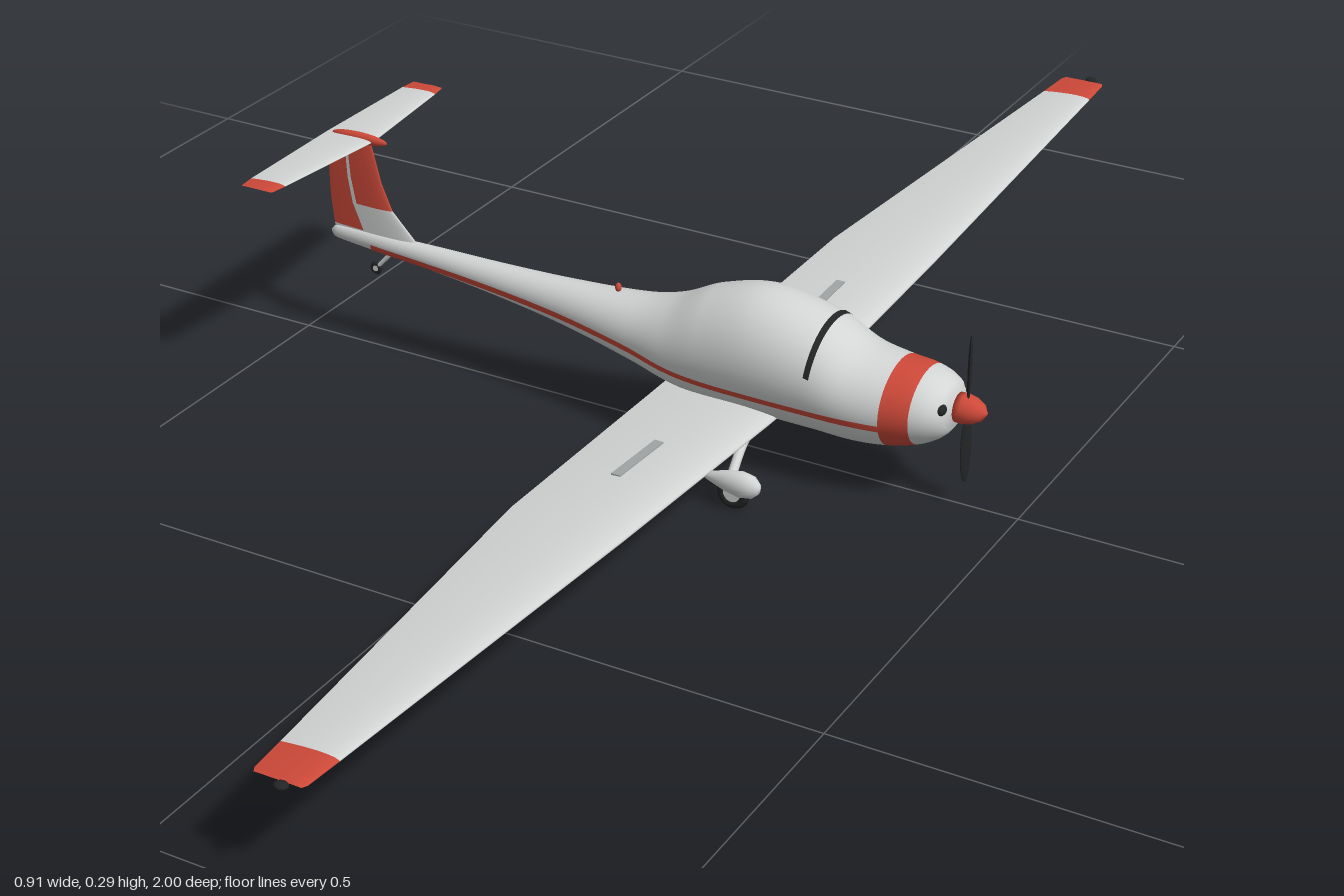
import * as THREE from 'three';

const mat = (name, color) => Object.assign(new THREE.MeshStandardMaterial({ color }), { name });

// Surface from rows and columns; paint(point, row, column) picks a material index per cell
function surface(nu, nv, fn, closed, paint = () => 0) {
  const pos = [], cells = [];
  const cols = closed ? nv : nv + 1;
  const pts = [];
  for (let i = 0; i <= nu; i++) for (let j = 0; j < cols; j++) {
    const p = fn(i, j);
    pts.push(p);
    pos.push(p.x, p.y, p.z);
  }
  for (let i = 0; i < nu; i++) for (let j = 0; j < nv; j++) {
    const j2 = (j + 1) % cols;
    const a = i * cols + j, b = a + cols, c = i * cols + j2, d = c + cols;
    const mid = pts[a].clone().add(pts[d]).multiplyScalar(0.5);
    const m = paint(mid, i, j);
    (cells[m] ||= []).push(a, b, c, b, d, c);
  }
  const g = new THREE.BufferGeometry();
  g.setAttribute('position', new THREE.Float32BufferAttribute(pos, 3));
  let start = 0;
  cells.forEach((c, m) => { g.addGroup(start, c.length, m); start += c.length; });
  g.setIndex(cells.filter(Boolean).flat());
  g.computeVertexNormals();
  return g;
}

// Smooth interpolation through rows [x, a, b, ...]
function interp(rows, x, k) {
  let i = 0;
  while (i < rows.length - 2 && x > rows[i + 1][0]) i++;
  const slope = n => {
    const p = rows[Math.max(n - 1, 0)], q = rows[Math.min(n + 1, rows.length - 1)];
    return (q[k] - p[k]) / (q[0] - p[0]);
  };
  const h = rows[i + 1][0] - rows[i][0], t = THREE.MathUtils.clamp((x - rows[i][0]) / h, 0, 1);
  const t2 = t * t, t3 = t2 * t;
  return (2 * t3 - 3 * t2 + 1) * rows[i][k] + (t3 - 2 * t2 + t) * h * slope(i)
    + (3 * t2 - 2 * t3) * rows[i + 1][k] + (t3 - t2) * h * slope(i + 1);
}

// Fuselage stations: x, top, bottom, half width
const BODY = [
  [-0.455, 0.150, 0.146, 0.001], [-0.448, 0.157, 0.140, 0.005], [-0.32, 0.160, 0.130, 0.013],
  [-0.2, 0.160, 0.117, 0.020], [-0.1, 0.162, 0.102, 0.029], [0, 0.168, 0.081, 0.045],
  [0.05, 0.180, 0.068, 0.056], [0.1, 0.204, 0.060, 0.064], [0.17, 0.220, 0.058, 0.070],
  [0.25, 0.204, 0.058, 0.070], [0.3, 0.179, 0.058, 0.067], [0.34, 0.171, 0.062, 0.063],
  [0.38, 0.167, 0.073, 0.056], [0.405, 0.157, 0.087, 0.045], [0.417, 0.144, 0.103, 0.028], [0.42, 0.130, 0.122, 0.005],
];
const STRIPE = [[-0.39, 0.142], [-0.25, 0.136], [-0.12, 0.127], [0, 0.115], [0.08, 0.104], [0.2, 0.104], [0.346, 0.106]];

function bodyPoint(x, a, grow = 0) {
  const top = interp(BODY, x, 1), bottom = interp(BODY, x, 2), w = interp(BODY, x, 3);
  return new THREE.Vector3(x, (top + bottom) / 2 + ((top - bottom) / 2 + grow) * Math.sin(a), (w + grow) * Math.cos(a));
}

// Airfoil loft; stations: span, trailing x, leading x, y, relative thickness
const SEG = 48;
function airfoil(stations, paint) {
  return surface(stations.length - 1, SEG, (i, j) => {
    const [z, te, le, y, t] = stations[i];
    const c = (1 + Math.cos(2 * Math.PI * j / SEG)) / 2;
    const half = 5 * t * (0.2969 * Math.sqrt(c) - 0.126 * c - 0.3516 * c ** 2 + 0.2843 * c ** 3 - 0.1036 * c ** 4);
    return new THREE.Vector3(le - c * (le - te), y + (le - te) * half * (j <= SEG / 2 ? 1 : -0.8), z);
  }, false, paint);
}
const mirrorSpan = s => [...s.map(r => [-r[0], ...r.slice(1)]).reverse(), ...s];

export function createModel() {
  const white = mat('pale grey paint', 0xd2d5d4), red = mat('red paint', 0xcd4939);
  const dark = mat('black', 0x232425), grey = mat('mid grey', 0xa0a4a4);
  const paints = [white, red];
  const model = new THREE.Group();
  const add = (name, geo, m, x = 0, y = 0, z = 0) => {
    const mesh = new THREE.Mesh(geo, m);
    mesh.name = name;
    mesh.position.set(x, y, z);
    model.add(mesh);
    return mesh;
  };
  const ball = (name, m, x, y, z, rx, ry, rz) => {
    const b = add(name, new THREE.SphereGeometry(1, 24, 16), m, x, y, z);
    b.scale.set(rx, ry, rz);
    return b;
  };
  const rod = (name, m, pts, r) => add(name, new THREE.TubeGeometry(
    new THREE.CatmullRomCurve3(pts.map(p => new THREE.Vector3(...p))), 10, r, 10), m);

  // Fuselage with red cowl band
  add('fuselage', surface(175, 40, (i, j) => bodyPoint(-0.455 + i * 0.005, j / 40 * 2 * Math.PI), true,
    p => (p.x > 0.345 && p.x < 0.38 ? 1 : 0)), paints);

  // Side stripes
  for (const s of [1, -1]) {
    add('sideStripe', surface(80, 2, (i, j) => {
      const x = -0.39 + 0.736 * i / 80, y = interp(STRIPE, x, 1) + s * (j - 1) * 0.004;
      const top = interp(BODY, x, 1), bottom = interp(BODY, x, 2);
      const a = Math.asin(THREE.MathUtils.clamp((2 * y - top - bottom) / (top - bottom), -1, 1));
      const p = bodyPoint(x, a, 0.0012);
      p.z *= s;
      return p;
    }, false), red);
  }

  // Canopy frame arch
  add('canopyArch', surface(2, 40, (i, j) => {
    const a = 0.28 + (Math.PI - 0.56) * j / 40;
    return bodyPoint(0.25 + i * 0.0035 + 0.004 * Math.sin(a), a, 0.0012);
  }, false), dark);

  // Main wing with dihedral and red tips
  const wingY = z => 0.07 + 0.056 * z;
  add('wing', airfoil(mirrorSpan([
    [0, 0.043, 0.205, 0.071, 0.125], [0.06, 0.045, 0.205, wingY(0.06), 0.125], [0.4, 0.06, 0.205, wingY(0.4), 0.12],
    [0.93, 0.129, 0.198, wingY(0.93), 0.11], [0.98, 0.135, 0.197, wingY(0.98), 0.1], [0.987, 0.139, 0.194, wingY(0.987), 0.01],
  ]).filter((r, i, all) => !i || r[0] !== all[i - 1][0]), p => (Math.abs(p.z) > 0.93 ? 1 : 0)), paints);

  for (const s of [1, -1]) {
    // Airbrake slots and tip lights
    const brake = add('airbrake', new THREE.BoxGeometry(0.012, 0.003, 0.1), grey, 0.127, 0.0915, s * 0.235);
    brake.rotation.x = -s * 0.05;
    ball('tipLight', dark, 0.175, wingY(0.99), s * 0.993, 0.008, 0.004, 0.007);

    // Main landing gear
    rod('gearLeg', white, [[0.185, 0.07, s * 0.045], [0.188, 0.062, s * 0.09], [0.195, 0.036, s * 0.136]], 0.006);
    const fairing = add('wheelFairing', new THREE.LatheGeometry([
      [0.0005, -0.044], [0.006, -0.03], [0.013, -0.008], [0.0165, 0.012], [0.014, 0.027], [0.007, 0.035], [0.0005, 0.037],
    ].map(p => new THREE.Vector2(...p)), 24), white, 0.199, 0.034, s * 0.14);
    fairing.rotation.z = -Math.PI / 2;
    fairing.scale.z = 0.8;
    const tyre = add('mainWheel', new THREE.TorusGeometry(0.015, 0.0065, 10, 28), dark, 0.201, 0.0215, s * 0.14);
    const hub = add('wheelHub', new THREE.CylinderGeometry(0.011, 0.011, 0.011, 20), white, 0.201, 0.0215, s * 0.14);
    hub.rotation.x = Math.PI / 2;
    tyre.scale.z = 0.9;

    // Cooling intakes
    ball('coolingIntake', dark, 0.411, 0.134, s * 0.03, 0.005, 0.007, 0.009);
  }

  // Fin and rudder: red top, pale hinge strip, pale root
  const fin = add('fin', airfoil([
    [0.152, -0.449, -0.318, 0, 0.08], [0.16, -0.45, -0.327, 0, 0.08], [0.195, -0.454, -0.361, 0, 0.09],
    [0.23, -0.455, -0.376, 0, 0.1], [0.284, -0.452, -0.39, 0, 0.1], [0.285, -0.452, -0.39, 0, 0.002],
  ], (p, i, j) => {
    const k = Math.min(j, SEG - 1 - j);
    if (k === 10) return 0;
    return k < 10 ? (i > 0 ? 1 : 0) : (i >= 2 ? 1 : 0);
  }), paints);
  fin.rotation.x = -Math.PI / 2;

  // Tailplane with red tips and centre fairing
  add('tailplane', airfoil(mirrorSpan([
    [0.001, -0.455, -0.385, 0.285, 0.1], [0.165, -0.452, -0.402, 0.285, 0.1],
    [0.185, -0.45, -0.405, 0.285, 0.1], [0.188, -0.449, -0.407, 0.285, 0.01],
  ]), p => (Math.abs(p.z) > 0.165 ? 1 : 0)), paints);
  ball('tailFairing', red, -0.406, 0.286, 0, 0.041, 0.0075, 0.006);

  // Tail wheel
  rod('tailWheelStrut', white, [[-0.365, 0.136, 0], [-0.378, 0.122, 0], [-0.388, 0.111, 0]], 0.0028);
  add('tailWheel', new THREE.TorusGeometry(0.0055, 0.003, 8, 20), dark, -0.389, 0.11, 0);
  add('tailWheelHub', new THREE.CylinderGeometry(0.004, 0.004, 0.005, 12), white, -0.389, 0.11, 0).rotation.x = Math.PI / 2;

  // Spinner and two-bladed propeller
  const spinner = add('spinner', new THREE.LatheGeometry([
    [0.001, 0], [0.018, 0], [0.0185, 0.008], [0.016, 0.02], [0.01, 0.031], [0.0005, 0.037],
  ].map(p => new THREE.Vector2(...p)), 28), red, 0.418, 0.126, 0);
  spinner.rotation.z = -Math.PI / 2;
  for (const s of [1, -1]) {
    const blade = ball('propellerBlade', dark, 0.43, 0.126 + s * 0.052, 0, 0.0025, 0.044, 0.0085);
    blade.rotation.y = s * 0.4;
  }

  // Exhaust and beacon
  rod('exhaust', dark, [[0.35, 0.068, 0.012], [0.33, 0.061, 0.012], [0.303, 0.057, 0.012]], 0.0035);
  ball('beacon', red, -0.034, 0.169, 0, 0.004, 0.006, 0.004);

  return model;
}
